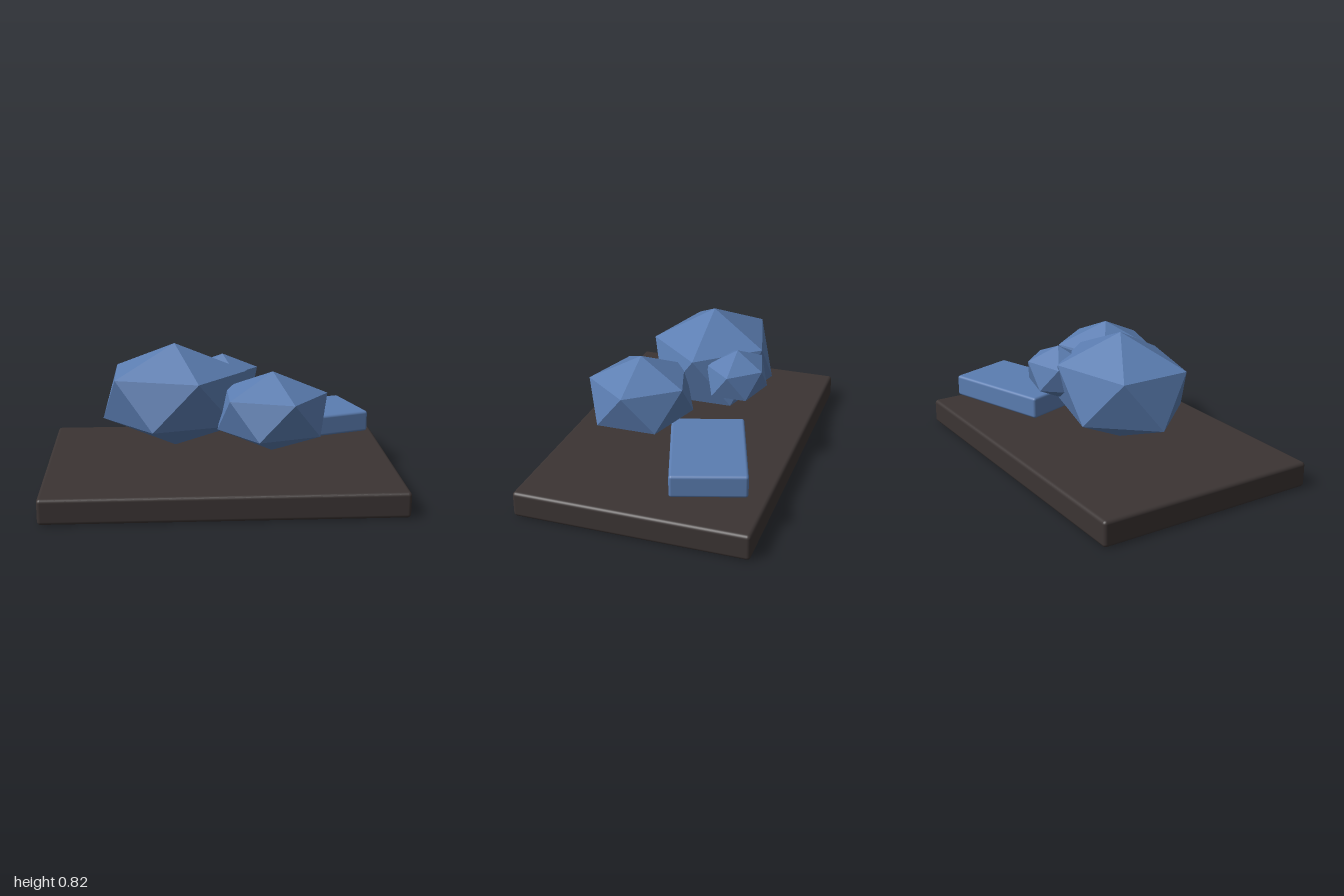
import * as THREE from 'three';
import { RoundedBoxGeometry } from 'three/addons/geometries/RoundedBoxGeometry.js';

// Faceted unit boulder: an icosahedron standing on one tip, with a corner toward +x.
function boulderGeometry() {
  const ring = (k, turn, y) => {
    const a = ((k % 5) * 72 + turn) * Math.PI / 180;
    return [Math.cos(a) * 0.8944, y, Math.sin(a) * 0.8944];
  };
  const upper = k => ring(k, 0, 0.4472);
  const lower = k => ring(k, 36, -0.4472);
  const top = [0, 1, 0], bottom = [0, -1, 0];
  const points = [];
  for (let k = 0; k < 5; k++) {
    points.push(
      ...top, ...upper(k + 1), ...upper(k),
      ...upper(k), ...upper(k + 1), ...lower(k),
      ...lower(k + 1), ...lower(k), ...upper(k + 1),
      ...bottom, ...lower(k), ...lower(k + 1)
    );
  }
  const geometry = new THREE.BufferGeometry();
  geometry.setAttribute('position', new THREE.Float32BufferAttribute(points, 3));
  geometry.computeVertexNormals(); // unshared corners keep each facet flat
  return geometry;
}

export function createModel() {
  const model = new THREE.Group();
  model.name = 'rockDisplay';

  const blueStone = new THREE.MeshStandardMaterial({ color: 0x5b7db1 });
  blueStone.name = 'blueStone';
  const darkBase = new THREE.MeshStandardMaterial({ color: 0x3b3433 });
  darkBase.name = 'darkBase';

  const add = (name, geometry, material, position) => {
    const mesh = new THREE.Mesh(geometry, material);
    mesh.name = name;
    mesh.position.set(...position);
    model.add(mesh);
    return mesh;
  };

  // Base plate with softened edges
  add('basePlate', new RoundedBoxGeometry(2, 0.145, 1.31, 3, 0.02), darkBase, [0, 0.0725, 0]);

  // Boulders: centre and radii
  const boulder = boulderGeometry();
  const boulders = [
    ['largeBoulder', [-0.256, 0.511, -0.073], [0.47, 0.307, 0.382]],
    ['mediumBoulder', [0.29, 0.475, 0.182], [0.347, 0.231, 0.32]],
    ['smallBoulder', [0.035, 0.548, -0.298], [0.235, 0.153, 0.187]],
  ];
  for (const [name, centre, radii] of boulders) {
    add(name, boulder, blueStone, centre).scale.set(...radii);
  }

  // Flat slab turned toward the back
  const slab = add('flatSlab', new RoundedBoxGeometry(0.65, 0.126, 0.408, 3, 0.016), blueStone, [0.542, 0.293, -0.29]);
  slab.rotation.y = Math.PI / 10;

  return model;
}
